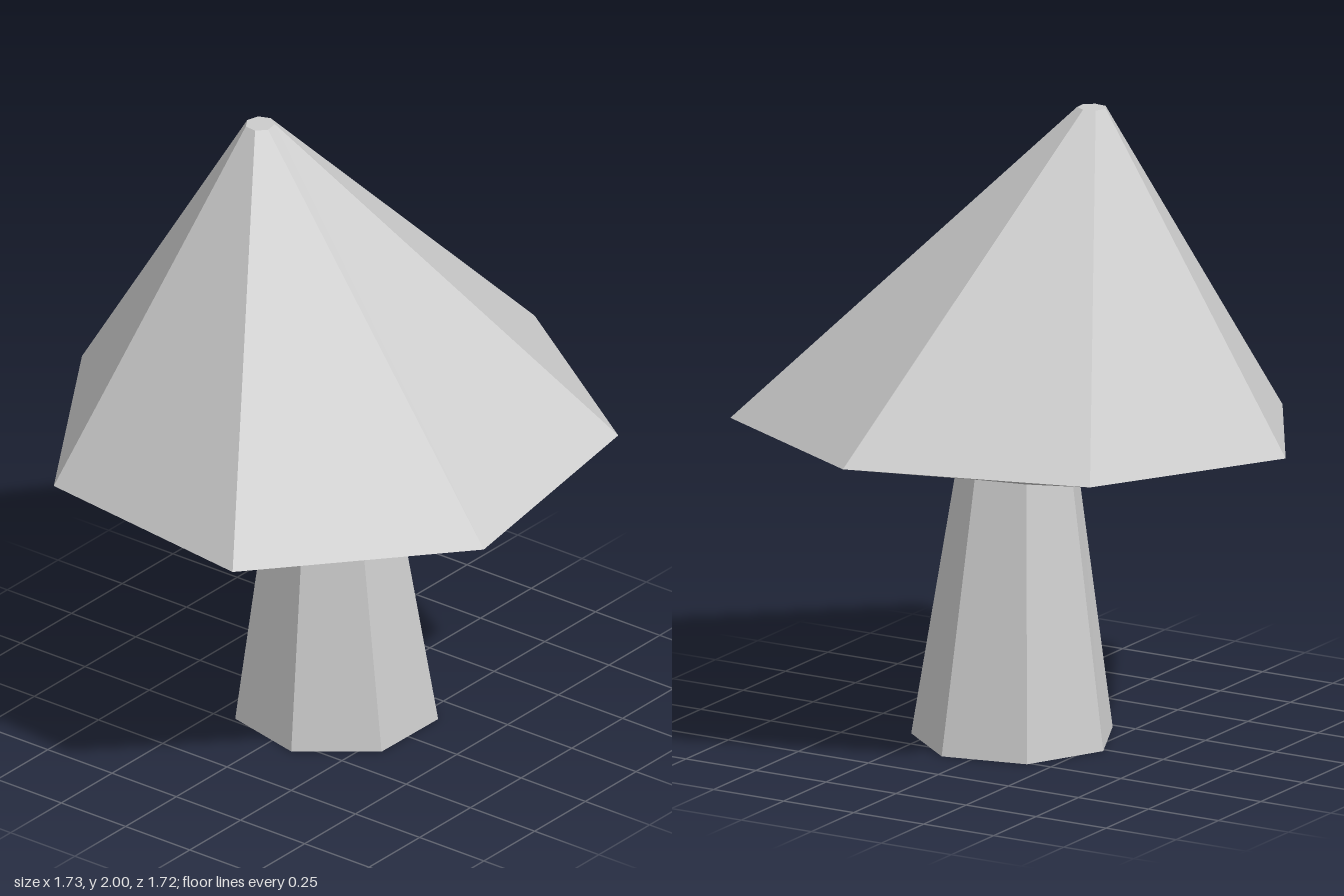
import * as THREE from 'three';

const SIDES = 7;

// Rings from bottom to top: centre, radius, turn in degrees, slope of y along x and z
const base = { x: 0.012, y: 0, z: 0.023, r: 0.318, turn: 25.2, sx: 0, sz: 0 };
const neck = { x: -0.017, y: 0.836, z: 0.026, r: 0.192, turn: 25.2, sx: 0.055, sz: -0.01 };
const rim = { x: -0.024, y: 0.98, z: 0.02, r: 0.89, turn: 31.9, sx: 0.066, sz: -0.007 };
const tip = { x: -0.108, y: 1.998, z: -0.181, r: 0.046, turn: 31.9, sx: 0.04, sz: 0 };

function ringPoint(ring, i) {
  const a = THREE.MathUtils.degToRad(ring.turn) + (i / SIDES) * Math.PI * 2;
  const dx = ring.r * Math.sin(a);
  const dz = ring.r * Math.cos(a);
  return [ring.x + dx, ring.y + ring.sx * dx + ring.sz * dz, ring.z + dz];
}

// Skins a series of rings with flat facets, optionally closing either end
function loft(name, rings, closeBottom, closeTop) {
  const pos = [];
  const tri = (a, b, c) => pos.push(...a, ...b, ...c);
  const first = rings[0];
  const last = rings[rings.length - 1];
  for (let i = 0; i < SIDES; i++) {
    for (let k = 0; k < rings.length - 1; k++) {
      const a = ringPoint(rings[k], i);
      const b = ringPoint(rings[k], i + 1);
      const c = ringPoint(rings[k + 1], i + 1);
      const d = ringPoint(rings[k + 1], i);
      tri(a, b, c);
      tri(a, c, d);
    }
    if (closeBottom) tri([first.x, first.y, first.z], ringPoint(first, i + 1), ringPoint(first, i));
    if (closeTop) tri([last.x, last.y, last.z], ringPoint(last, i), ringPoint(last, i + 1));
  }
  const geometry = new THREE.BufferGeometry();
  geometry.setAttribute('position', new THREE.Float32BufferAttribute(pos, 3));
  geometry.computeVertexNormals();
  const material = new THREE.MeshStandardMaterial({ color: 0xcccccc, flatShading: true });
  const mesh = new THREE.Mesh(geometry, material);
  mesh.name = name;
  return mesh;
}

export function createModel() {
  const group = new THREE.Group();
  group.name = 'mushroom';
  // Tapered stem, then the cap: underside, leaning cone and small flat tip
  group.add(loft('stem', [base, neck], true, false));
  group.add(loft('cap', [neck, rim, tip], false, true));
  return group;
}
